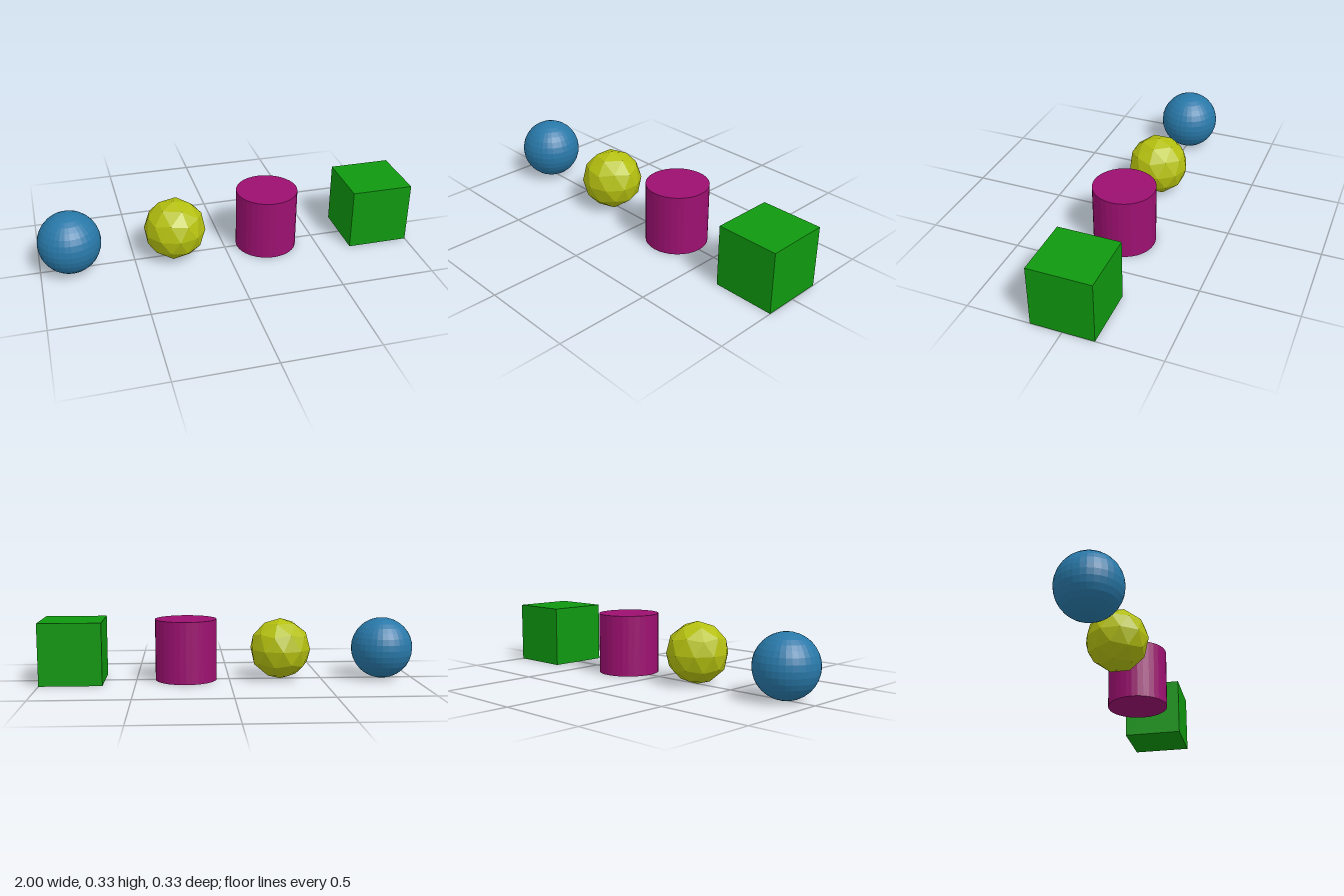
import * as THREE from 'three';

const R = 0.165; // shared radius, also half the height of every solid

export function createModel() {
  const group = new THREE.Group();

  const add = (name, geometry, color, x) => {
    const material = new THREE.MeshStandardMaterial({ color, flatShading: true });
    const mesh = new THREE.Mesh(geometry, material);
    mesh.name = name;
    mesh.position.set(x, R, 0);
    group.add(mesh);
  };

  // Faceted ball of rings and segments
  add('ringSphere', new THREE.SphereGeometry(R, 32, 16), 0x2878a8, -0.835);

  // Triangle-faced ball, turned so that a corner points straight up
  const ico = new THREE.IcosahedronGeometry(R, 1);
  ico.rotateZ(-Math.atan(2 / (1 + Math.sqrt(5))));
  add('triangleSphere', ico, 0xb4c010, -0.277);

  // Upright cylinder
  add('cylinder', new THREE.CylinderGeometry(R, R, 2 * R, 32), 0x9c1070, 0.233);

  // Cube
  add('cube', new THREE.BoxGeometry(2 * R, 2 * R, 2 * R), 0x0f980f, 0.835);

  return group;
}
